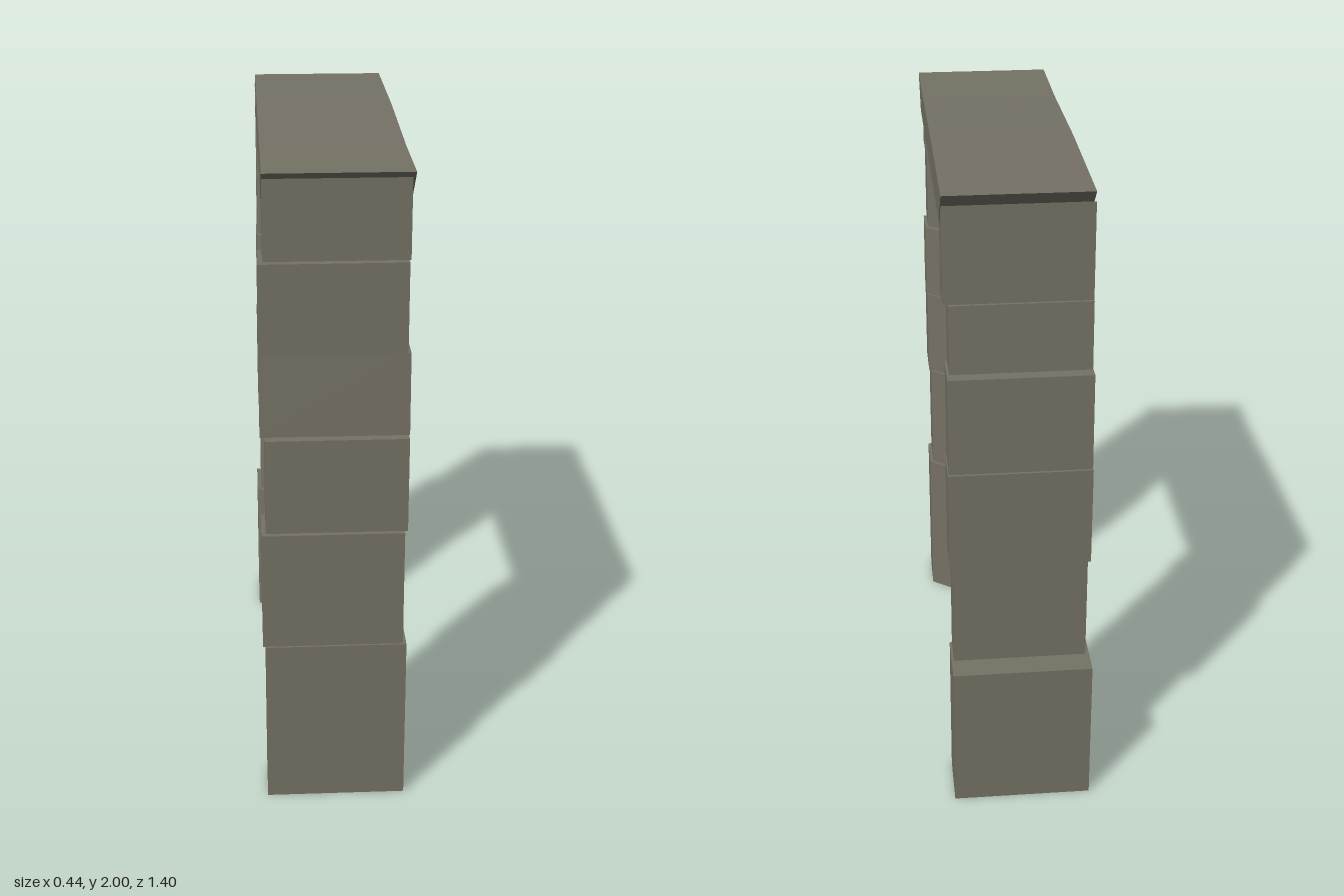
import * as THREE from 'three';

const stone = new THREE.MeshStandardMaterial({ color: 0x757165 });
stone.name = 'grey stone';

// Flat-sided solid skinned through loops of equal point count, capped at both ends
function loft(loops) {
  const tris = [];
  const n = loops[0].length;
  for (let s = 0; s < loops.length - 1; s++) {
    for (let i = 0; i < n; i++) {
      const j = (i + 1) % n;
      const [a, b, c, d] = [loops[s][i], loops[s][j], loops[s + 1][j], loops[s + 1][i]];
      tris.push([a, b, c], [a, c, d]);
    }
  }
  const first = loops[0], last = loops[loops.length - 1];
  for (let i = 1; i < n - 1; i++) {
    tris.push([first[0], first[i + 1], first[i]], [last[0], last[i], last[i + 1]]);
  }
  // Turn the faces outward when the enclosed volume comes out negative
  let volume = 0;
  for (const [a, b, c] of tris) {
    volume += a[0] * (b[1] * c[2] - b[2] * c[1]) - a[1] * (b[0] * c[2] - b[2] * c[0])
      + a[2] * (b[0] * c[1] - b[1] * c[0]);
  }
  const points = tris.flatMap(([a, b, c]) => (volume < 0 ? [a, c, b] : [a, b, c])).flat();
  const geo = new THREE.BufferGeometry();
  geo.setAttribute('position', new THREE.Float32BufferAttribute(points, 3));
  geo.computeVertexNormals();
  return geo;
}

function add(group, name, geometry) {
  const mesh = new THREE.Mesh(geometry, stone);
  mesh.name = name;
  group.add(mesh);
  return mesh;
}

// Block outline across the wall: flat outside, two chamfers toward the opening
function outline(x0, x1, outer, inner) {
  const chamfer = inner + (outer > inner ? 0.05 : -0.05);
  return [
    [x0, outer], [x1, outer], [x1, chamfer],
    [x1 - 0.07, inner], [x0 + 0.07, inner], [x0, chamfer],
  ];
}

// Per block: bottom, top, x min, x max, outer bottom, outer top, inner bottom, inner top
const frontBlocks = [
  [0, 0.533, -0.212, 0.213, 0.70, 0.70, 0.507, 0.507],
  [0.537, 0.909, -0.22, 0.202, 0.70, 0.70, 0.507, 0.507],
  [0.917, 1.211, -0.207, 0.21, 0.70, 0.70, 0.507, 0.507],
  [1.215, 1.463, -0.22, 0.212, 0.68, 0.67, 0.507, 0.505],
  [1.468, 1.733, -0.22, 0.202, 0.685, 0.683, 0.505, 0.5],
  [1.737, 1.83, -0.205, 0.206, 0.672, 0.672, 0.505, 0.5],
];
const backBlocks = [
  [0, 0.482, -0.22, 0.21, 0.70, 0.70, 0.473, 0.473],
  [0.487, 0.84, -0.207, 0.203, 0.627, 0.627, 0.473, 0.473],
  [0.845, 1.16, -0.212, 0.213, 0.655, 0.655, 0.473, 0.473],
  [1.165, 1.464, -0.21, 0.21, 0.655, 0.645, 0.473, 0.465],
  [1.47, 1.678, -0.207, 0.203, 0.62, 0.612, 0.46, 0.46],
  [1.682, 1.83, -0.206, 0.218, 0.612, 0.607, 0.46, 0.455],
];

function pillar(name, side, blocks) {
  const group = new THREE.Group();
  group.name = name;
  blocks.forEach(([y0, y1, x0, x1, ob, ot, ib, it], i) => {
    // The top block is mitred against the lintel
    const slope = i === blocks.length - 1 ? 0.14 / (ot - it) : 0;
    const low = outline(x0, x1, ob, ib).map(([x, z]) => [x, y0, z * side]);
    const high = outline(x0, x1, ot, it).map(([x, z]) => [x, y1 + (z - it) * slope, z * side]);
    add(group, 'stoneBlock' + (i + 1), loft([low, high]));
  });
  return group;
}

// Lintel sections from front to back: top height, z at the bottom, z at the top
function lintel() {
  const sections = [
    [1.98, 0.497, 0.655], [1.98, 0.35, 0.35], [1.998, -0.12, -0.12], [2, -0.448, -0.612],
  ];
  return loft(sections.map(([top, zLow, zHigh]) =>
    outline(-0.205, 0.218, top, 1.832).map(([x, y]) =>
      [x, y, zLow + (zHigh - zLow) * (y - 1.832) / (top - 1.832)])));
}

// U-shaped strip lining the opening
function liner(x0, x1, front, back, top) {
  const shape = new THREE.Shape();
  [[-0.52, 0], [-0.52, 1.84], [0.48, 1.84], [0.48, 0], [back, 0], [back, top], [-front, top], [-front, 0]]
    .forEach(([u, y], i) => (i ? shape.lineTo(u, y) : shape.moveTo(u, y)));
  const geo = new THREE.ExtrudeGeometry(shape, { depth: x1 - x0, bevelEnabled: false });
  return geo.rotateY(Math.PI / 2).translate(x0, 0, 0);
}

export function createModel() {
  const model = new THREE.Group();
  model.name = 'stoneDoorway';
  model.add(pillar('frontPillar', 1, frontBlocks));
  model.add(pillar('backPillar', -1, backBlocks));
  add(model, 'lintel', lintel());

  // Stepped door frame, widest against the stone
  const frame = new THREE.Group();
  frame.name = 'doorFrame';
  add(frame, 'frameBase', liner(-0.015, 0.065, 0.455, 0.422, 1.785));
  add(frame, 'frameStep', liner(-0.008, 0.05, 0.445, 0.41, 1.777));
  add(frame, 'frameStop', liner(0, 0.03, 0.43, 0.395, 1.763));
  model.add(frame);

  // Wedge-shaped hinge pins on the front jamb
  for (const [name, y] of [['lowerHinge', 0.18], ['upperHinge', 1.415]]) {
    const hinge = new THREE.Group();
    hinge.name = name;
    add(hinge, 'hingePlate', new THREE.BoxGeometry(0.012, 0.13, 0.032)).position.set(0.069, y + 0.065, 0.475);
    const ring = (h, z, r) => [[0.07, h, z - r], [0.07, h, z + r], [0.095, h, z + r], [0.095, h, z - r]];
    add(hinge, 'hingePin', loft([ring(y, 0.47, 0.005), ring(y + 0.13, 0.475, 0.013)]));
    model.add(hinge);
  }
  return model;
}
